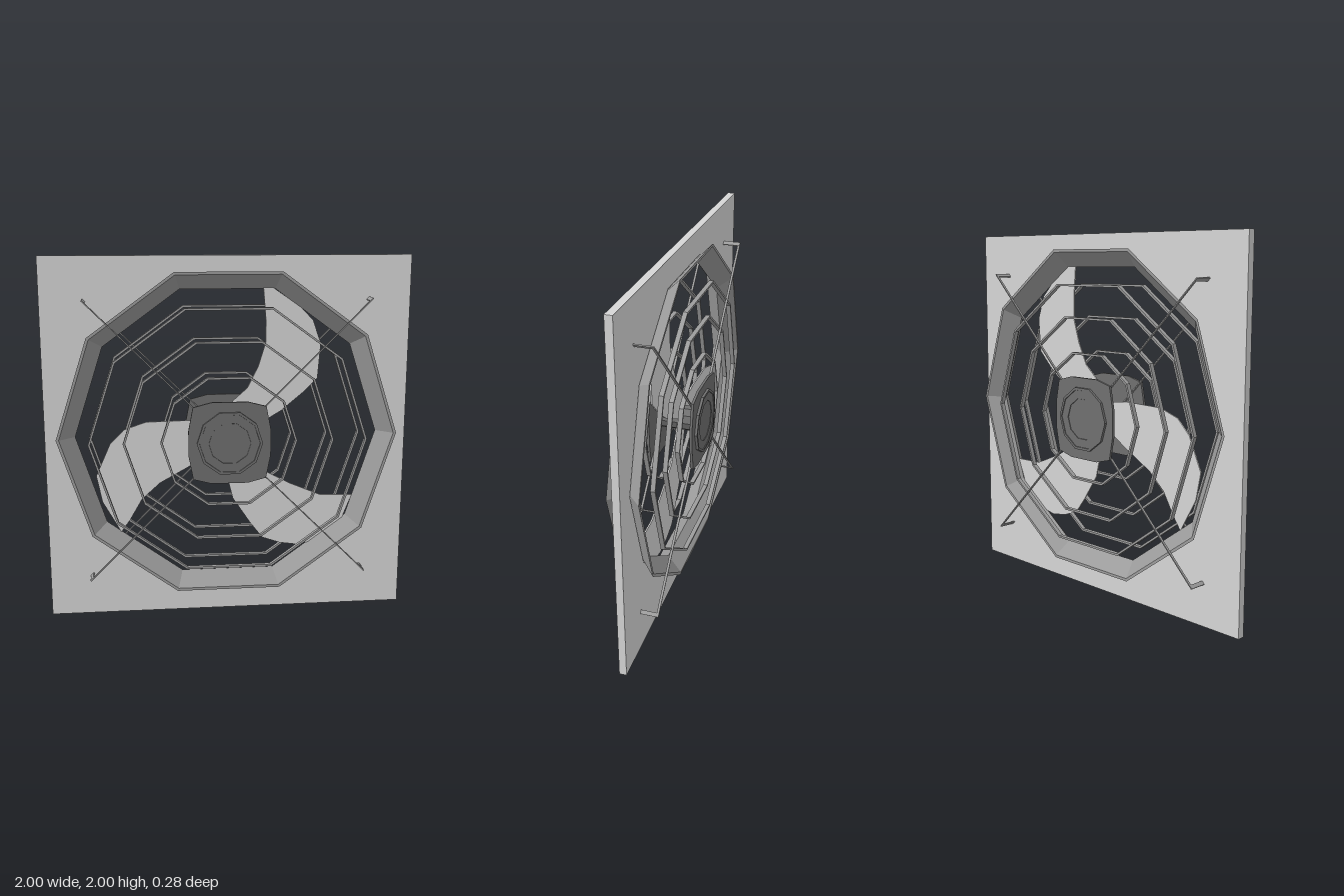
import * as THREE from 'three';

const plateGrey = new THREE.MeshStandardMaterial({ color: 0xd5d5d5 });
plateGrey.name = 'lightGrey';
const metalGrey = new THREE.MeshStandardMaterial({ color: 0x9c9c9c });
metalGrey.name = 'midGrey';
const darkGrey = new THREE.MeshStandardMaterial({ color: 0x6f6f6f });
darkGrey.name = 'darkGrey';

const MID_Z = -0.005; // plane the cage is mirrored about

function add(parent, name, geometry, material, x = 0, y = 0, z = 0) {
  const mesh = new THREE.Mesh(geometry, material);
  mesh.name = name;
  mesh.position.set(x, y, z);
  parent.add(mesh);
  return mesh;
}

const toShape = (pts) => new THREE.Shape(pts.map(([x, y]) => new THREE.Vector2(x, y)));

function slab(shape, depth) {
  const g = new THREE.ExtrudeGeometry(shape, { depth, bevelEnabled: false });
  g.translate(0, 0, -depth / 2);
  return g;
}

// Faceted ten-sided turning about z from [radius, z] points, with a corner on the x axis
function decagon(profile) {
  const points = profile.map(([r, z]) => new THREE.Vector2(r, z));
  const g = new THREE.LatheGeometry(points, 10, Math.PI / 2).rotateX(Math.PI / 2).toNonIndexed();
  g.computeVertexNormals();
  return g;
}

// One face of the guard: rings, crossed spokes and hub cover
function guard(name) {
  const group = new THREE.Group();
  group.name = name;

  // Flat strip rings
  for (const r of [0.37, 0.573, 0.76]) {
    const [a, b, back, front] = [r - 0.006, r + 0.006, 0.08, 0.105];
    add(group, 'guardRing', decagon([[a, back], [b, back], [b, front], [a, front], [a, back]]), metalGrey);
  }
  for (const turn of [1, -1]) {
    const spoke = add(group, 'guardSpoke', new THREE.BoxGeometry(2.19, 0.006, 0.013), metalGrey, 0, 0, 0.108);
    spoke.rotation.z = turn * Math.PI / 4;
  }

  // Softly bulging square cover
  const quarter = [[0.225, 0.07], [0.2, 0.2], [0.1, 0.226]];
  const half = [...quarter, ...quarter.map(([x, y]) => [-x, y]).reverse()];
  const outline = [...half, ...half.map(([x, y]) => [-x, -y])];
  add(group, 'hubCover', slab(toShape(outline), 0.014), darkGrey, 0, 0, 0.121);

  // Round cap with a raised rim and stepped centre
  add(group, 'hubCap', decagon([
    [0.18, 0.126], [0.18, 0.142], [0.166, 0.142], [0.165, 0.138], [0.116, 0.138], [0.115, 0.135], [0, 0.135],
  ]), darkGrey);
  return group;
}

export function createModel() {
  const model = new THREE.Group();
  model.name = 'wallFan';

  // Square mounting plate with a ten-sided opening
  const plate = toShape([[-1, 0], [1, 0], [1, 2], [-1, 2]]);
  const hole = [];
  for (let i = 0; i < 10; i++) {
    const a = -i * Math.PI / 5;
    hole.push(new THREE.Vector2(0.873 * Math.cos(a), 1.025 + 0.873 * Math.sin(a)));
  }
  plate.holes.push(new THREE.Path(hole));
  add(model, 'mountingPlate', slab(plate, 0.04), plateGrey);

  // Shroud flaring to both sides from a narrow neck
  add(model, 'shroud', decagon([
    [0.921, -0.088], [0.937, -0.088], [0.851, -0.006], [0.937, 0.076],
    [0.921, 0.076], [0.837, -0.006], [0.921, -0.088],
  ]), metalGrey, 0, 1.025, 0);

  // Fan blades, outlined about the hub centre
  const fan = new THREE.Group();
  fan.name = 'fan';
  fan.position.set(0, 1, MID_Z);
  model.add(fan);
  const blades = [
    [[0.06, 0.02], [0.2, 0.09], [0.3, 0.15], [0.42, 0.25], [0.5, 0.33], [0.515, 0.52], [0.47, 0.65],
      [0.4, 0.72], [0.25, 0.825], [0.195, 0.83], [0.21, 0.65], [0.21, 0.53], [0.17, 0.4], [0.11, 0.28], [0.03, 0.21], [-0.02, 0.08]],
    [[-0.02, 0.08], [-0.2, 0.105], [-0.45, 0.1], [-0.57, 0.06], [-0.65, -0.02], [-0.73, -0.2], [-0.7, -0.35],
      [-0.6, -0.53], [-0.55, -0.46], [-0.48, -0.34], [-0.38, -0.25], [-0.2, -0.15], [-0.05, -0.06]],
    [[-0.05, -0.06], [0, -0.23], [0.03, -0.35], [0.13, -0.5], [0.2, -0.59], [0.3, -0.625], [0.4, -0.64], [0.5, -0.62],
      [0.66, -0.49], [0.715, -0.35], [0.53, -0.345], [0.35, -0.27], [0.2, -0.19], [0.06, 0.02]],
  ];
  for (const pts of blades) add(fan, 'blade', slab(toShape(pts), 0.008), plateGrey);
  add(fan, 'axle', decagon([[0.07, -0.115], [0.07, 0.115]]), darkGrey);

  // Guard on both sides, joined by brackets at the spoke ends
  const cage = new THREE.Group();
  cage.name = 'cage';
  cage.position.set(0, 1, MID_Z);
  model.add(cage);
  const rear = guard('rearGuard');
  rear.rotation.y = Math.PI;
  cage.add(guard('frontGuard'), rear);
  for (let i = 0; i < 4; i++) {
    const a = Math.PI / 4 + i * Math.PI / 2;
    const bracket = add(cage, 'spokeBracket', new THREE.BoxGeometry(0.022, 0.007, 0.228), metalGrey,
      1.084 * Math.cos(a), 1.084 * Math.sin(a), 0);
    bracket.rotation.z = a;
  }
  return model;
}
